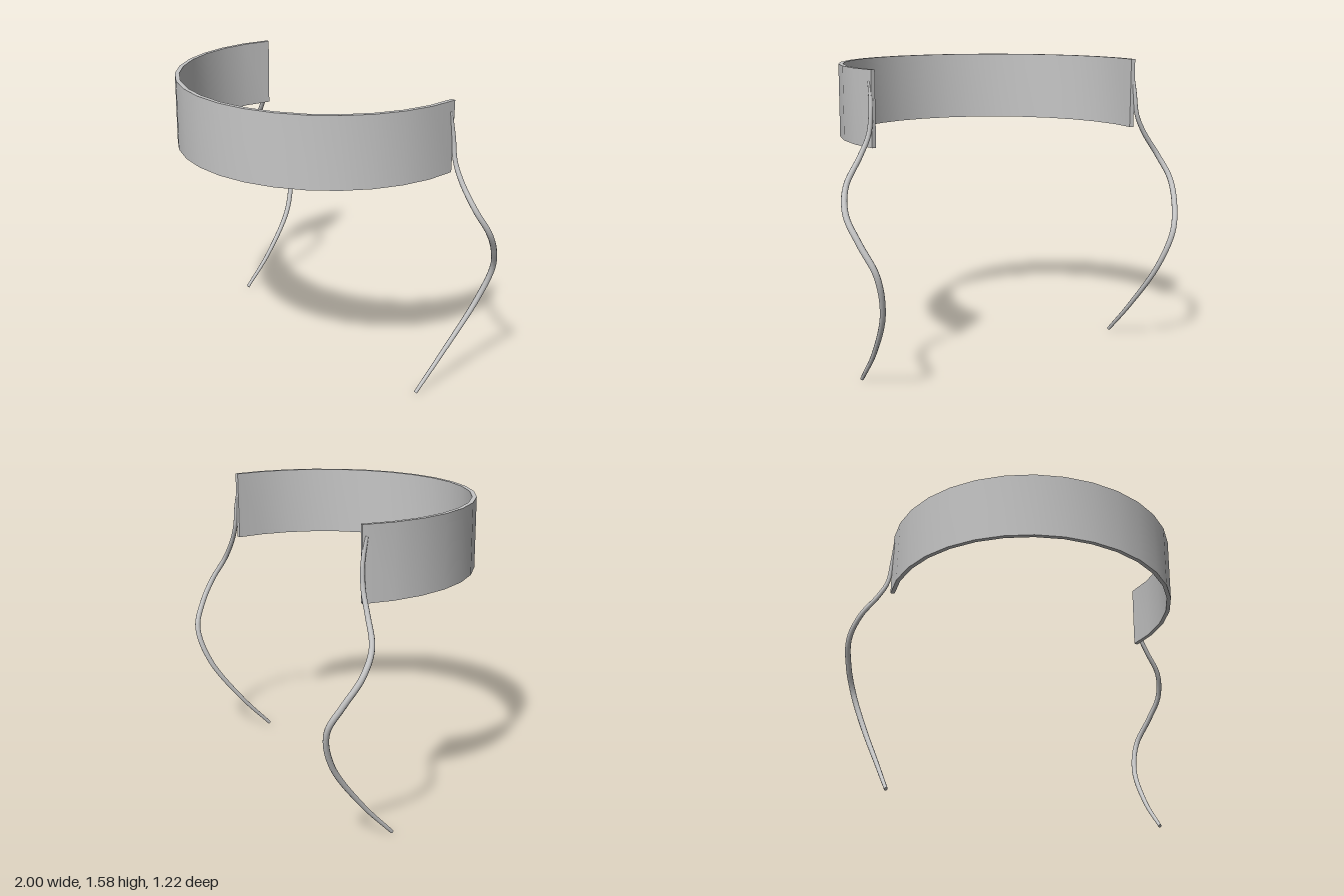
import * as THREE from 'three';
import { toCreasedNormals } from 'three/addons/utils/BufferGeometryUtils.js';

const grey = new THREE.MeshStandardMaterial({ color: 0xc6c6c6 });
grey.name = 'grey';

// Curved band: 18 facets of a circle, a little more than half a turn
function makeBand() {
  const steps = 18, height = 0.37, centreZ = -0.2;
  const arc = (r) => Array.from({ length: steps + 1 }, (_, i) => {
    const a = THREE.MathUtils.degToRad(-11.25 + i * 11.25);
    return new THREE.Vector2(r * Math.cos(a), centreZ + r * Math.sin(a));
  });
  const shape = new THREE.Shape([...arc(0.811), ...arc(0.788).reverse()]);
  let geo = new THREE.ExtrudeGeometry(shape, { depth: height, bevelEnabled: false });
  geo.rotateX(Math.PI / 2); // shape y becomes z, depth runs down
  geo.translate(0, 1.585, 0);
  geo = toCreasedNormals(geo, 0.4);
  const band = new THREE.Mesh(geo, grey);
  band.name = 'band';
  return band;
}

// Thin hanging cord, slightly thicker at the bend; side is +1 (left) or -1 (right)
function makeCord(side) {
  const path = [
    [0.792, 1.53, -0.335], [0.799, 1.4, -0.358], [0.815, 1.28, -0.362],
    [0.865, 1.18, -0.366], [0.95, 1.05, -0.388], [0.985, 0.93, -0.455],
    [0.955, 0.8, -0.535], [0.9, 0.66, -0.592], [0.845, 0.46, -0.541],
    [0.806, 0.2, -0.36], [0.795, 0.01, -0.188],
  ].map(([x, y, z]) => new THREE.Vector3(side * x, y, z));
  const curve = new THREE.CatmullRomCurve3(path);
  const along = 72, around = 10;
  const radius = (t) => 0.0095 + 0.006 * Math.sin(Math.PI * t);
  const geo = new THREE.TubeGeometry(curve, along, 1, around);
  const pos = geo.attributes.position, nor = geo.attributes.normal;
  for (let i = 0; i <= along; i++) {
    const c = curve.getPointAt(i / along), r = radius(i / along);
    for (let j = 0; j <= around; j++) {
      const k = i * (around + 1) + j;
      pos.setXYZ(k, c.x + r * nor.getX(k), c.y + r * nor.getY(k), c.z + r * nor.getZ(k));
    }
  }
  const cord = new THREE.Group();
  cord.name = side > 0 ? 'leftCord' : 'rightCord';
  const strand = new THREE.Mesh(geo, grey);
  strand.name = 'strand';
  cord.add(strand);
  // Flat end caps
  for (const t of [0, 1]) {
    const cap = new THREE.Mesh(new THREE.CircleGeometry(radius(t), around), grey);
    const out = curve.getTangentAt(t).multiplyScalar(t ? 1 : -1);
    cap.position.copy(curve.getPointAt(t));
    cap.quaternion.setFromUnitVectors(new THREE.Vector3(0, 0, 1), out);
    cap.name = t ? 'lowerEnd' : 'upperEnd';
    cord.add(cap);
  }
  return cord;
}

export function createModel() {
  const model = new THREE.Group();
  model.name = 'bandWithCords';
  model.add(makeBand(), makeCord(1), makeCord(-1));
  return model;
}
